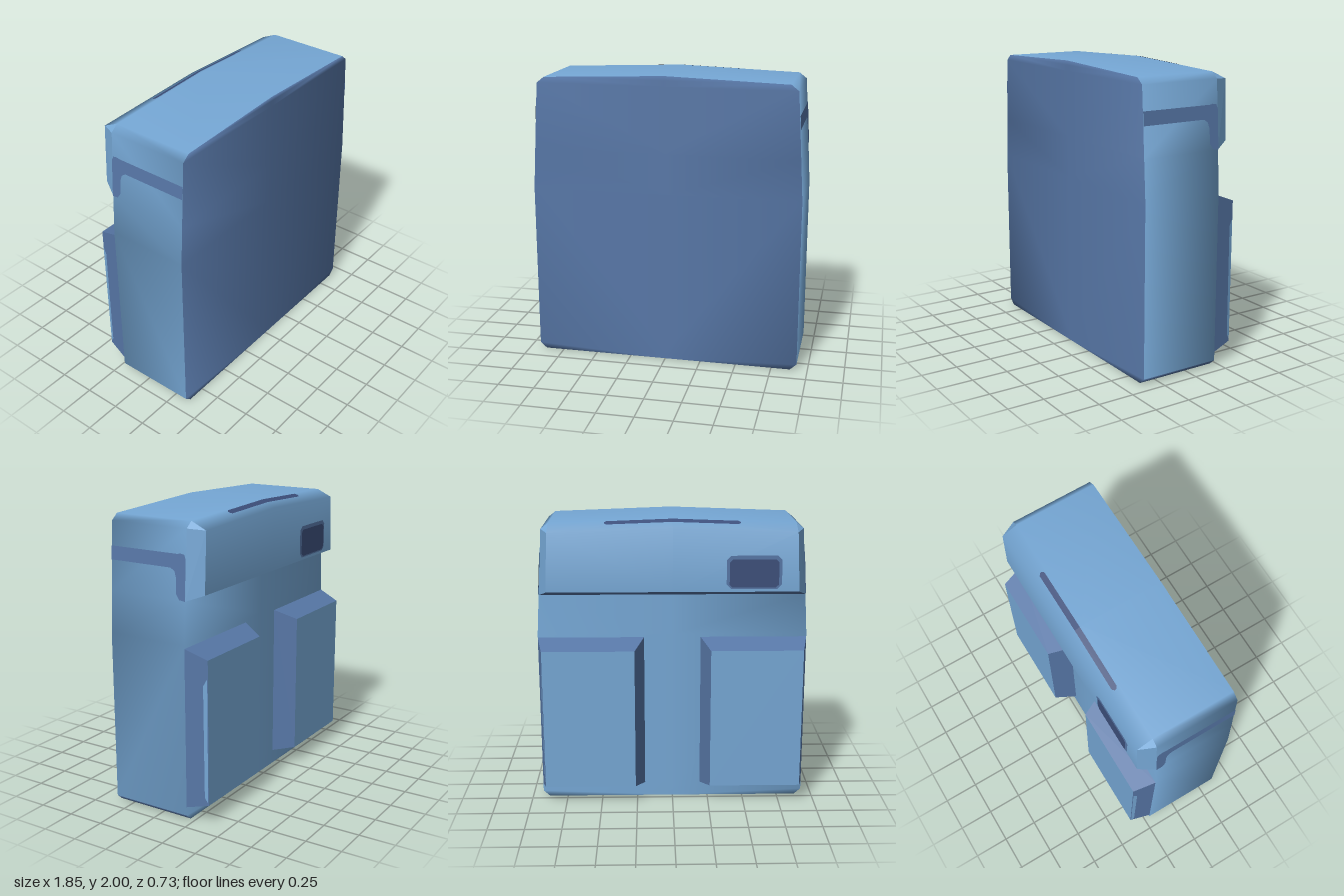
import * as THREE from 'three';
import { mergeVertices } from 'three/addons/utils/BufferGeometryUtils.js';

const mat = (name, color) => {
  const m = new THREE.MeshStandardMaterial({ color });
  m.name = name;
  m.side = THREE.DoubleSide;
  return m;
};

const FRONT = 0.363, BACK = -0.212, FLAP = -0.32, POCKET = -0.363;
// outline rows: height, half width
const ROWS = [[0, 0.88], [0.04, 0.925], [1.2, 0.925], [1.48, 0.908], [1.93, 0.88], [1.97, 0.83], [2, 0]];

// Builds a mesh from convex faces [materialIndex, ...points], turned away from centre
function build(name, faces, mats, centre, smooth = false) {
  const pos = [], geo = new THREE.BufferGeometry(), c = new THREE.Vector3(...centre);
  for (const [m, ...pts] of faces) {
    const start = pos.length / 3;
    const p = pts.map((q) => new THREE.Vector3(...q));
    for (let i = 1; i + 1 < p.length; i++) {
      const tri = new THREE.Triangle(p[0], p[i], p[i + 1]);
      if (tri.getArea() < 1e-7) continue;
      const n = tri.getNormal(new THREE.Vector3());
      const mid = tri.getMidpoint(new THREE.Vector3()).sub(c);
      const order = n.dot(mid) < 0 ? [p[0], p[i + 1], p[i]] : [p[0], p[i], p[i + 1]];
      order.forEach((v) => pos.push(v.x, v.y, v.z));
    }
    geo.addGroup(start, pos.length / 3 - start, m);
  }
  geo.setAttribute('position', new THREE.Float32BufferAttribute(pos, 3));
  const out = smooth ? mergeVertices(geo) : geo;
  out.computeVertexNormals();
  const mesh = new THREE.Mesh(out, mats);
  mesh.name = name;
  return mesh;
}

// Flat shape whose points are mapped onto a surface by a rule
function decal(name, points, material, place) {
  const geo = new THREE.ShapeGeometry(new THREE.Shape(points.map((p) => new THREE.Vector2(...p))));
  const a = geo.attributes.position;
  for (let i = 0; i < a.count; i++) a.setXYZ(i, ...place(a.getX(i), a.getY(i)));
  geo.computeVertexNormals();
  const mesh = new THREE.Mesh(geo, material);
  mesh.name = name;
  return mesh;
}

export function createModel() {
  const model = new THREE.Group();
  model.name = 'backpack';
  const light = mat('light blue', 0x76a8d6);
  const mid = mat('denim blue', 0x5777a7);
  const navy = mat('navy', 0x3c4f7b);
  const mats = [light, mid];

  // Main bag with rounded shading, running over into the top flap
  const shell = [[1, [-0.88, 0, FRONT], [0.88, 0, FRONT], [0.88, 0, BACK], [-0.88, 0, BACK]]];
  const flapEnds = [];
  for (const s of [-1, 1]) {
    for (let i = 0; i < ROWS.length - 1; i++) {
      const [y0, w0] = ROWS[i], [y1, w1] = ROWS[i + 1];
      const panel = (z) => [[0, y0, z], [s * w0, y0, z], [s * w1, y1, z], [0, y1, z]];
      shell.push([1, ...panel(FRONT)]);
      if (i < 3) shell.push([0, ...panel(BACK)]);
      shell.push([i === 0 ? 1 : 0, [s * w0, y0, FRONT], [s * w0, y0, BACK], [s * w1, y1, BACK], [s * w1, y1, FRONT]]);
    }
    const corner = [s * 0.83, 1.92, FLAP], low = [s * 0.85, 1.52, FLAP];
    shell.push([0, [0, 2, BACK], [s * 0.83, 1.97, BACK], corner, [0, 1.95, FLAP]]);
    shell.push([0, [0, 1.52, FLAP], low, corner, [0, 1.95, FLAP]]);
    flapEnds.push([0, [s * 0.908, 1.48, BACK], [s * 0.88, 1.93, BACK], corner, low]);
    flapEnds.push([0, [s * 0.88, 1.93, BACK], [s * 0.83, 1.97, BACK], corner]);
  }
  flapEnds.push([1, [-0.908, 1.48, BACK], [0.908, 1.48, BACK], [0.85, 1.52, FLAP], [-0.85, 1.52, FLAP]]);
  model.add(build('bag', shell, mats, [0, 1, 0], true));
  model.add(build('flapEdges', flapEnds, mats, [0, 1.7, -0.2]));

  for (const s of [-1, 1]) {
    // Tapered pocket with dark sides
    const ring = (x0, x1, y0, y1, z) => [[s * x0, y0, z], [s * x1, y0, z], [s * x1, y1, z], [s * x0, y1, z]];
    const base = ring(0.195, 0.925, 0.1, 1.18, BACK), top = ring(0.26, 0.89, 0.135, 1.12, POCKET);
    const faces = [[0, ...top]];
    for (let i = 0; i < 4; i++) {
      const j = (i + 1) % 4;
      faces.push([1, base[i], base[j], top[j], top[i]]);
    }
    model.add(build('pocket', faces, mats, [s * 0.56, 0.63, -0.25]));

    // Light rim on the outer pocket side
    model.add(decal('pocketRim', [[-0.36, 0.15], [-0.338, 0.19], [-0.333, 0.95], [-0.36, 1.0]], light,
      (z, y) => [s * (0.928 - 0.035 * (BACK - z) / (BACK - POCKET)), y, z]));

    // Side strap hooking down beside the flap
    const strap = [[FRONT, 1.68], [-0.1, 1.68], [-0.13, 1.66], [-0.142, 1.62], [-0.146, 1.52], [-0.17, 1.485],
      [BACK, 1.48], [BACK, 1.74], [-0.2, 1.77], [-0.17, 1.775], [-0.15, 1.77], [FRONT, 1.77]];
    model.add(decal('sideStrap', strap, mid,
      (z, y) => [s * (0.929 - 0.045 * (y - 1.2) / 0.73), y, z]));

    // Half of the handle slot on the sloping flap top
    const slot = [[0, -0.262], [0.44, -0.262], [0.455, -0.25], [0.455, -0.238], [0.44, -0.226], [0, -0.226]];
    model.add(decal('handleSlot', slot, navy,
      (x, z) => [s * x, 2.005 - 0.036 * x - 0.463 * (BACK - z), z]));
  }

  // Patch on the flap: border and inset
  const patch = (x0, x1, y0, y1, c) => [[x0 + c, y0], [x1 - c, y0], [x1, y0 + c], [x1, y1 - c],
    [x1 - c, y1], [x0 + c, y1], [x0, y1 - c], [x0, y0 + c]];
  model.add(decal('patchBorder', patch(-0.73, -0.36, 1.54, 1.765, 0.03), mid, (x, y) => [x, y, FLAP - 0.003]));
  model.add(decal('patch', patch(-0.71, -0.38, 1.55, 1.74, 0.02), navy, (x, y) => [x, y, FLAP - 0.006]));
  return model;
}
